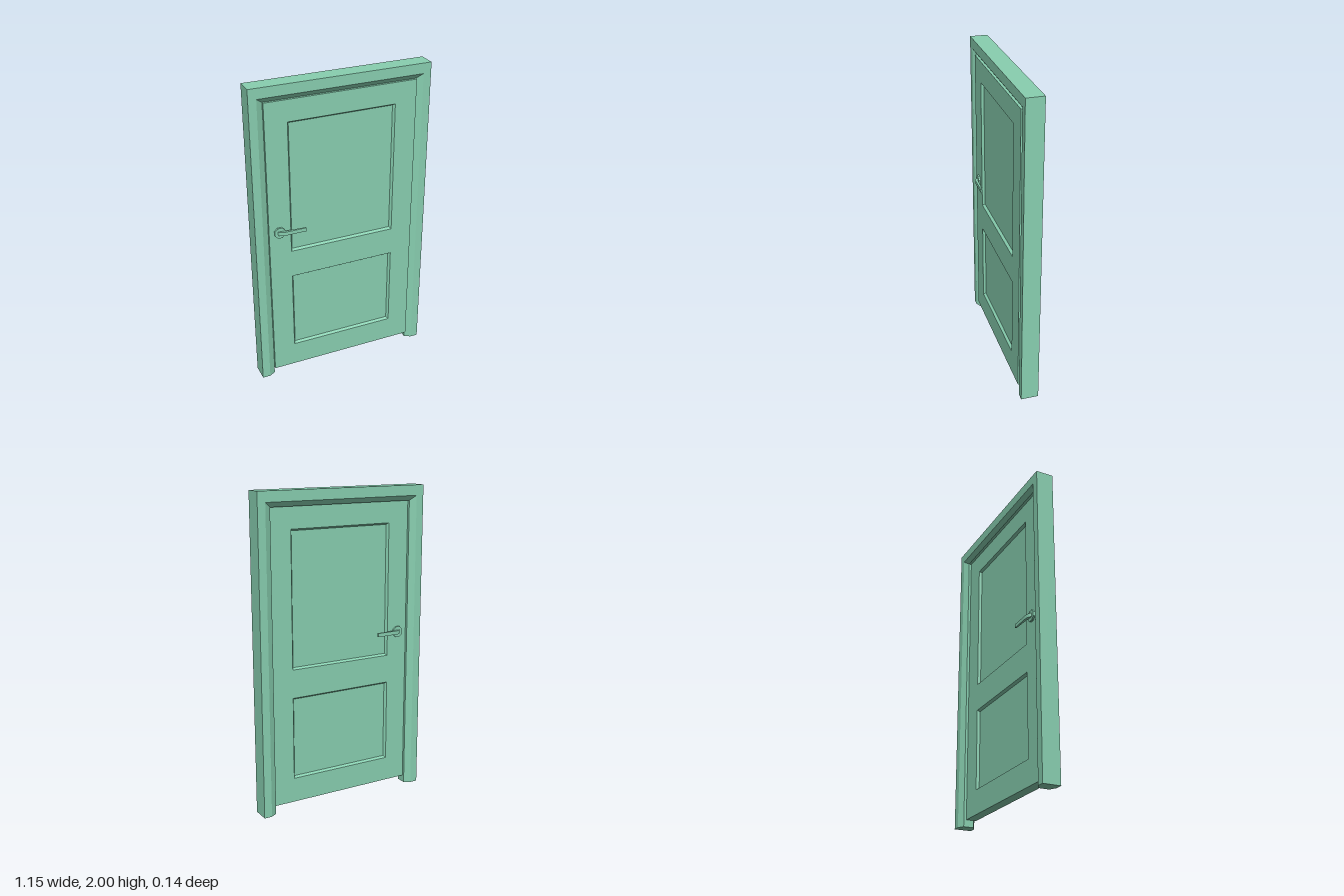
import * as THREE from 'three';

const green = new THREE.MeshStandardMaterial({ color: 0x88cfb0 });
green.name = 'sage green';

function addMesh(parent, geometry, name) {
  const mesh = new THREE.Mesh(geometry, green);
  mesh.name = name;
  parent.add(mesh);
  return mesh;
}

// Flat-shaded surface from convex polygons, corners counter-clockwise from outside
function polygonGeometry(polygons) {
  const pos = [];
  for (const p of polygons)
    for (let i = 1; i < p.length - 1; i++) pos.push(...p[0], ...p[i], ...p[i + 1]);
  const g = new THREE.BufferGeometry();
  g.setAttribute('position', new THREE.Float32BufferAttribute(pos, 3));
  g.computeVertexNormals();
  return g;
}

// Door casing: one profile swept up, across and down with mitred corners
function frameGeometry() {
  // [inset of the sides, inset of the head, z]
  const profile = [
    [0, 0, -0.069], [0, 0, 0.043], [0.05, 0.065, 0.043],
    [0.09, 0.096, 0.02], [0.09, 0.096, -0.047], [0.05, 0.065, -0.069],
  ];
  const stations = [[-1, 0], [-1, 1], [1, 1], [1, 0]];
  const rings = stations.map(([side, up]) =>
    profile.map(([u, v, z]) => [side * (0.575 - u), up ? 2 - v : 0, z]));
  const polys = [];
  for (let s = 0; s < 3; s++)
    for (let i = 0; i < profile.length; i++) {
      const j = (i + 1) % profile.length;
      polys.push([rings[s][i], rings[s][j], rings[s + 1][j], rings[s + 1][i]]);
    }
  polys.push([...rings[0]].reverse(), rings[3]);
  return polygonGeometry(polys);
}

const corners = (r, d, z) => [
  [r.x0 + d, r.y0 + d, z], [r.x1 - d, r.y0 + d, z],
  [r.x1 - d, r.y1 - d, z], [r.x0 + d, r.y1 - d, z],
];

// Sloping moulding between the door face and a sunken panel
function mouldingGeometry(rect, faceZ, panelZ) {
  const outer = corners(rect, 0, faceZ), inner = corners(rect, 0.011, panelZ);
  const polys = [];
  for (let i = 0; i < 4; i++) {
    const j = (i + 1) % 4;
    const quad = [outer[i], outer[j], inner[j], inner[i]];
    polys.push(faceZ > panelZ ? quad : quad.reverse());
  }
  return polygonGeometry(polys);
}

const FRONT = 0.037, BACK = -0.03, SINK = 0.016;

function buildDoor() {
  const door = new THREE.Group();
  door.name = 'doorLeaf';
  const panels = [
    { x0: -0.345, x1: 0.345, y0: 0.913, y1: 1.77, name: 'upperPanel' },
    { x0: -0.345, x1: 0.345, y0: 0.203, y1: 0.732, name: 'lowerPanel' },
  ];

  // Stiles and rails
  const toPath = (r, PathClass) => new PathClass(
    corners(r, 0, 0).map(([x, y]) => new THREE.Vector2(x, y)));
  const shape = toPath({ x0: -0.485, x1: 0.485, y0: 0.045, y1: 1.905 }, THREE.Shape);
  for (const r of panels) shape.holes.push(toPath(r, THREE.Path));
  const leaf = new THREE.ExtrudeGeometry(shape, { depth: FRONT - BACK, bevelEnabled: false });
  leaf.translate(0, 0, BACK);
  addMesh(door, leaf, 'stilesAndRails');

  // Sunken panels with mouldings on both faces
  for (const r of panels) {
    const slab = new THREE.BoxGeometry(r.x1 - r.x0, r.y1 - r.y0, FRONT - BACK - 2 * SINK);
    slab.translate((r.x0 + r.x1) / 2, (r.y0 + r.y1) / 2, (FRONT + BACK) / 2);
    addMesh(door, slab, r.name);
    addMesh(door, mouldingGeometry(r, FRONT, FRONT - SINK), r.name + 'FrontMoulding');
    addMesh(door, mouldingGeometry(r, BACK, BACK + SINK), r.name + 'BackMoulding');
  }
  return door;
}

// Lever handle standing on z = 0
function buildHandle(name) {
  const handle = new THREE.Group();
  handle.name = name;
  const rose = new THREE.CylinderGeometry(0.037, 0.037, 0.012, 8).toNonIndexed();
  rose.rotateY(Math.PI / 8);
  rose.rotateX(Math.PI / 2);
  rose.translate(0, 0, 0.006);
  rose.computeVertexNormals();
  addMesh(handle, rose, 'rosette');

  // Lever outline seen from above: x along the lever, second value away from the door
  const outline = [
    [-0.015, 0.01], [0.012, 0.01], [0.02, 0.015], [0.163, 0.023],
    [0.163, 0.032], [0.03, 0.032], [0.01, 0.029], [-0.006, 0.022],
  ].map(([x, y]) => new THREE.Vector2(x, y));
  const lever = new THREE.ExtrudeGeometry(new THREE.Shape(outline), { depth: 0.024, bevelEnabled: false });
  lever.translate(0, 0, -0.012);
  lever.rotateX(Math.PI / 2);
  addMesh(handle, lever, 'lever');
  return handle;
}

export function createModel() {
  const model = new THREE.Group();
  model.name = 'panelDoor';
  addMesh(model, frameGeometry(), 'doorFrame');
  model.add(buildDoor());

  const front = buildHandle('frontHandle');
  front.position.set(-0.418, 1.064, FRONT);
  const back = buildHandle('backHandle');
  back.rotation.x = Math.PI;
  back.position.set(-0.418, 1.064, BACK);
  model.add(front, back);
  return model;
}
